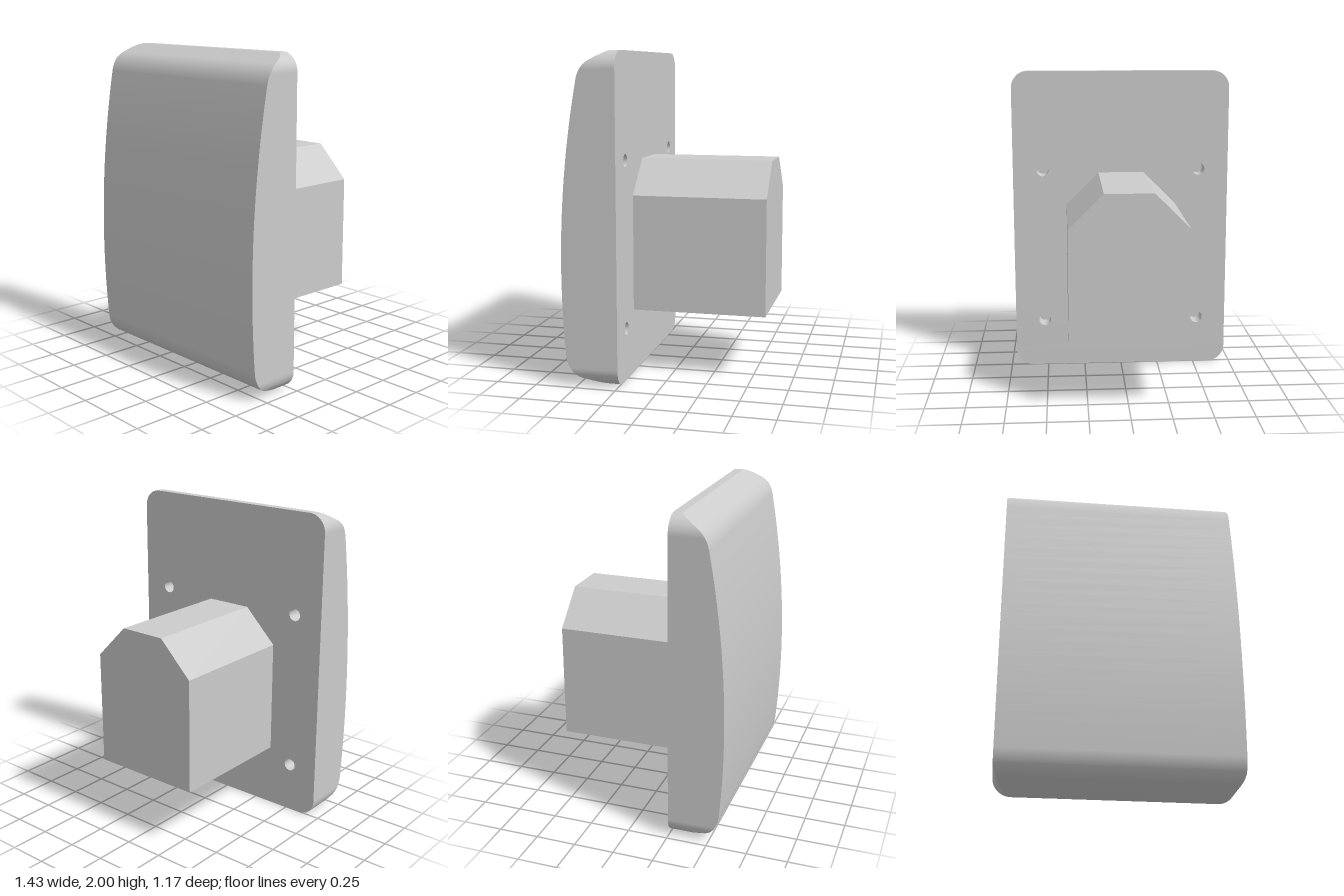
import * as THREE from 'three';

const W = 0.715, R = 0.11, H = 2, BACK = 0.245, TAIL = -0.585;
const HOLE_R = 0.04, HOLE_DEPTH = 0.12;

// Ruled strip through rows of [a, b] points, smooth along its length
function strip(name, rows, material) {
  const g = new THREE.BufferGeometry();
  g.setAttribute('position', new THREE.Float32BufferAttribute(rows.flat(2), 3));
  const index = [];
  for (let i = 0; i < rows.length - 1; i++) {
    const a = 2 * i;
    index.push(a, a + 1, a + 3, a, a + 3, a + 2);
  }
  g.setIndex(index);
  g.computeVertexNormals();
  return named(name, g, material);
}

function named(name, geometry, material) {
  const mesh = new THREE.Mesh(geometry, material);
  mesh.name = name;
  return mesh;
}

// Side profile of the cover front as (z, y), bottom to top
function profilePoints() {
  const p = new THREE.Path();
  p.moveTo(0.3, 0);
  p.lineTo(0.47, 0.048);
  p.bezierCurveTo(0.519, 0.062, 0.56, 0.12, 0.566, 0.186);
  p.quadraticCurveTo(0.637, 1.008, 0.48, 1.83);
  p.quadraticCurveTo(0.464, 1.91, 0.4, 1.946);
  p.lineTo(0.3, H);
  return p.getPoints(20);
}

// Half width at a height, with rounded corners
function halfWidth(y) {
  const d = Math.max(0, R - Math.min(y, H - y));
  return W - R + Math.sqrt(Math.max(0, R * R - d * d));
}

export function createModel() {
  const model = new THREE.Group();
  const grey = new THREE.MeshStandardMaterial({ color: 0xcccccc });
  const inner = new THREE.MeshStandardMaterial({ color: 0xcccccc, side: THREE.DoubleSide });

  // Heights of all cross-sections: profile points plus corner arc points
  const profile = profilePoints();
  const depth = y => {
    const i = Math.max(1, profile.findIndex(p => p.y >= y - 1e-9));
    const a = profile[i - 1], b = profile[i];
    return a.x + (b.x - a.x) * (y - a.y) / (b.y - a.y);
  };
  const all = profile.map(p => p.y);
  for (let i = 0; i <= 12; i++) {
    const h = R * (1 - Math.cos(i / 12 * Math.PI / 2));
    all.push(h, H - h);
  }
  const ys = all.sort((a, b) => a - b).filter((y, i, s) => i === 0 || y - s[i - 1] > 1e-5);
  const rows = ys.map(y => ({ y, w: halfWidth(y), z: depth(y) }));

  // Cover plate: curved front, two sides, top and bottom edges
  const cover = new THREE.Group();
  cover.name = 'coverPlate';
  cover.add(
    strip('coverFront', rows.map(({ y, w, z }) => [[-w, y, z], [w, y, z]]), grey),
    strip('coverLeftSide', rows.map(({ y, w, z }) => [[w, y, z], [w, y, BACK]]), grey),
    strip('coverRightSide', rows.map(({ y, w, z }) => [[-w, y, BACK], [-w, y, z]]), grey));
  const edge = (y, zs) => zs.map(z => [[-halfWidth(y), y, z], [halfWidth(y), y, z]]);
  cover.add(
    strip('coverTopEdge', edge(H, [depth(H), BACK]), grey),
    strip('coverBottomEdge', edge(0, [BACK, depth(0)]), grey));

  // Flat back with four blind screw holes
  const outline = new THREE.Shape([
    ...rows.map(r => new THREE.Vector2(r.w, r.y)),
    ...[...rows].reverse().map(r => new THREE.Vector2(-r.w, r.y))]);
  for (const x of [-0.52, 0.52]) {
    for (const y of [0.32, 1.35]) {
      outline.holes.push(new THREE.Path().absarc(x, y, HOLE_R, 0, Math.PI * 2, true));
      const wall = new THREE.CylinderGeometry(HOLE_R, HOLE_R, HOLE_DEPTH, 24, 1, true);
      wall.rotateX(Math.PI / 2).translate(x, y, BACK + HOLE_DEPTH / 2);
      const floor = new THREE.CircleGeometry(HOLE_R, 24);
      floor.rotateY(Math.PI).translate(x, y, BACK + HOLE_DEPTH);
      cover.add(named('screwHoleWall', wall, inner), named('screwHoleFloor', floor, grey));
    }
  }
  const back = new THREE.ShapeGeometry(outline, 12);
  back.rotateY(Math.PI).translate(0, 0, BACK);
  cover.add(named('coverBack', back, grey));
  model.add(cover);

  // Rear housing: box with chamfered top corners
  const section = new THREE.Shape([
    [-0.363, 0.4], [0.363, 0.4], [0.363, 1.12], [0.15, 1.333], [-0.15, 1.333], [-0.363, 1.12],
  ].map(([x, y]) => new THREE.Vector2(x, y)));
  const housing = new THREE.ExtrudeGeometry(section, { depth: BACK - TAIL, bevelEnabled: false });
  housing.translate(0, 0, TAIL);
  model.add(named('rearHousing', housing, grey));

  return model;
}
